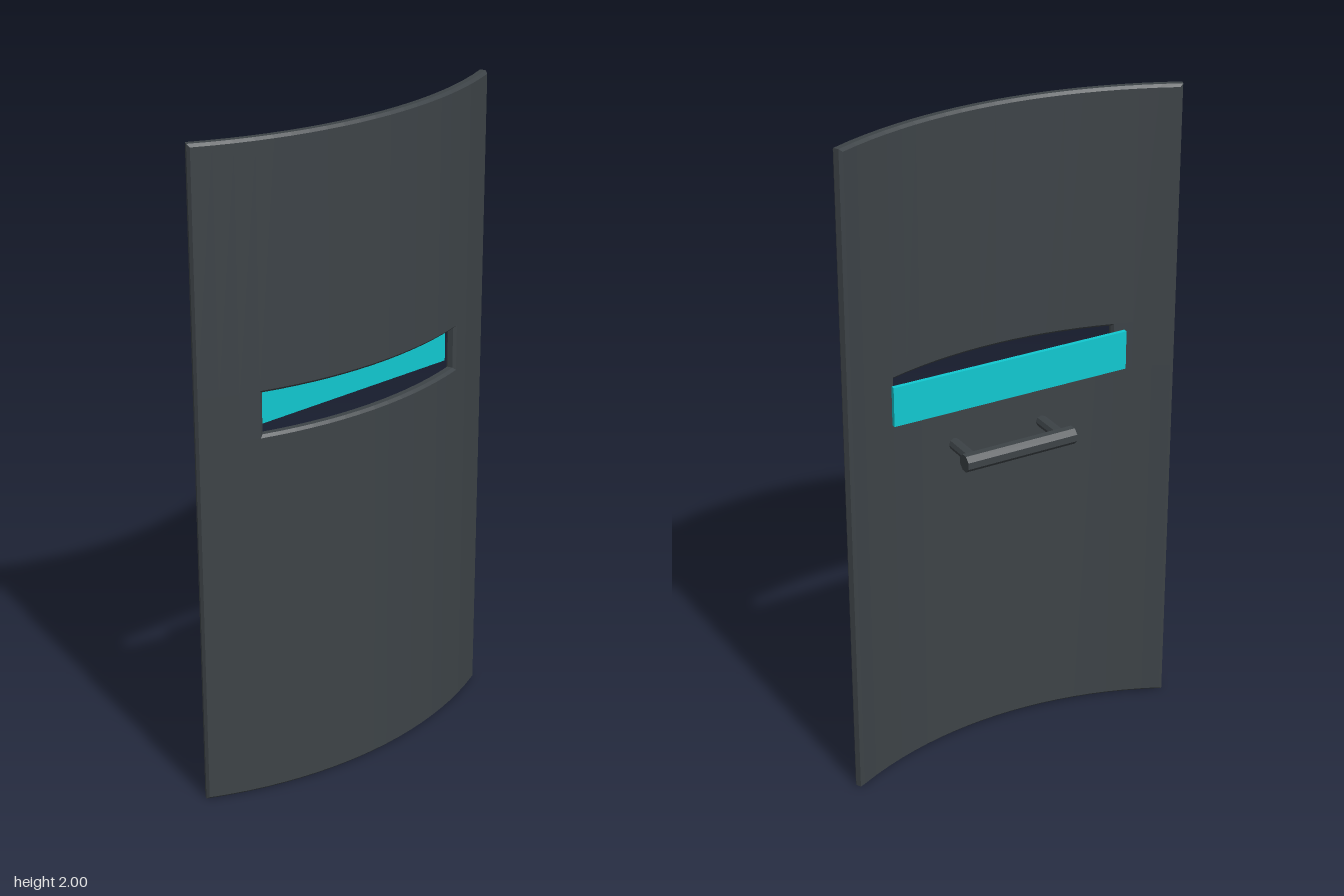
import * as THREE from 'three';

const R = 1.19, T = 0.033, BEVEL = 0.008; // inner radius, thickness, edge chamfer
const AXIS_Z = 0.059 - R;                 // centre of curvature

// point on the curved plate: angle around the axis, height, depth above inner face
const bend = (a, y, d) => [(R + d) * Math.sin(a), y, AXIS_Z + (R + d) * Math.cos(a)];

function curvedPlate() {
  const pos = [];
  const quad = (a, b, c, d) => pos.push(...a, ...b, ...c, ...a, ...c, ...d);
  const step = BEVEL / R;
  const edge = 0.4605, slot = 0.302;      // half angles of plate and slot
  const faceEdge = edge - step, faceSlot = slot + step;

  // columns of the face grid, finer inside the slot span
  const inner = [], outer = [];
  for (let i = 0; i <= 14; i++) inner.push(faceSlot * (i / 7 - 1));
  for (let i = 1; i <= 3; i++) outer.push(faceSlot + (faceEdge - faceSlot) * i / 3);
  const cols = [...outer.map(a => -a).reverse(), ...inner, ...outer];
  const rows = [BEVEL, 1.148 - BEVEL, 1.274 + BEVEL, 2 - BEVEL];

  // front and back faces, leaving the slot open
  for (let i = 0; i < cols.length - 1; i++) {
    for (let j = 0; j < 3; j++) {
      if (j === 1 && i >= 3 && i < 17) continue;
      const corners = d => [
        bend(cols[i], rows[j], d), bend(cols[i + 1], rows[j], d),
        bend(cols[i + 1], rows[j + 1], d), bend(cols[i], rows[j + 1], d)];
      quad(...corners(T));
      quad(...corners(0).reverse());
    }
  }

  // chamfered rims: loops at four depths; grow is +1 for the outside, -1 for the slot
  const rim = (angles, y0, y1, grow) => {
    const half = angles[angles.length - 1];
    const layers = [[T, 0], [T - BEVEL, 1], [BEVEL, 1], [0, 0]].map(([d, out]) => {
      const k = (half + grow * out * step) / half, dy = grow * out * BEVEL;
      const low = angles.map(a => bend(a * k, y0 - dy, d));
      const high = angles.map(a => bend(a * k, y1 + dy, d)).reverse();
      return [...low, ...high, low[0]];
    });
    for (let l = 0; l < 3; l++) {
      for (let i = 0; i < layers[0].length - 1; i++) {
        const q = [layers[l + 1][i], layers[l + 1][i + 1], layers[l][i + 1], layers[l][i]];
        quad(...(grow > 0 ? q : q.reverse()));
      }
    }
  };
  rim(cols, rows[0], rows[3], 1);
  rim(inner, rows[1], rows[2], -1);

  const geo = new THREE.BufferGeometry();
  geo.setAttribute('position', new THREE.Float32BufferAttribute(pos, 3));
  geo.computeVertexNormals();
  return geo;
}

export function createModel() {
  const model = new THREE.Group();
  model.name = 'shield';
  const darkMetal = new THREE.MeshStandardMaterial({ color: 0x3d4347 });
  darkMetal.name = 'dark metal';
  const cyanGlass = new THREE.MeshStandardMaterial({ color: 0x11c8d0 });
  cyanGlass.name = 'cyan glass';

  const add = (parent, name, geo, mat, x, y, z) => {
    const mesh = new THREE.Mesh(geo, mat);
    mesh.name = name;
    mesh.position.set(x, y, z);
    parent.add(mesh);
    return mesh;
  };
  const rod = (r, length) => new THREE.CylinderGeometry(r, r, length, 8).toNonIndexed();
  const flat = geo => { geo.computeVertexNormals(); return geo; };

  add(model, 'plate', curvedPlate(), darkMetal, 0, 0, 0);

  // flat viewing pane behind the slot
  add(model, 'visor', new THREE.BoxGeometry(0.76, 0.12, 0.013), cyanGlass, 0, 1.21, -0.03);

  // grip bar on two posts
  const handle = new THREE.Group();
  handle.name = 'handle';
  model.add(handle);
  const gripGeo = flat(rod(0.027, 0.36).rotateY(Math.PI / 8).rotateZ(Math.PI / 2));
  add(handle, 'grip', gripGeo, darkMetal, 0, 1, -0.072);
  const postGeo = flat(rod(0.018, 0.125).rotateX(Math.PI / 2));
  for (const side of [-1, 1]) {
    add(handle, side > 0 ? 'leftPost' : 'rightPost', postGeo, darkMetal, side * 0.146, 1, 0.0);
  }
  return model;
}
